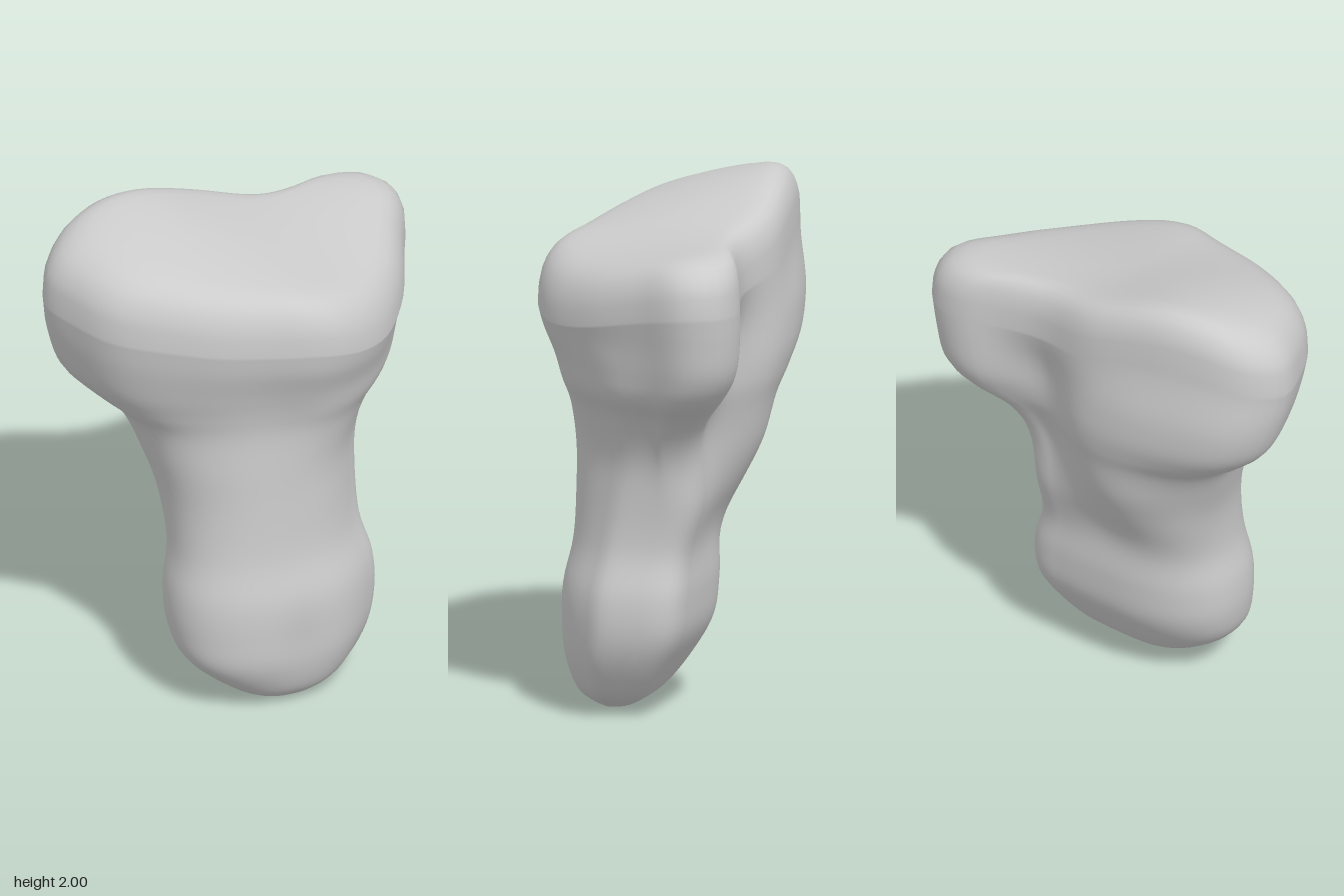
import * as THREE from 'three';

const SIDES = 80, STEPS = 5;

// head outline seen from above, [x, z], starting at the right and running across the front
const HEAD = [
  [-0.77, -0.19], [-0.73, -0.02], [-0.63, 0.16], [-0.36, 0.32], [-0.1, 0.4], [0.15, 0.45],
  [0.38, 0.36], [0.56, 0.16], [0.68, -0.08], [0.76, -0.28], [0.7, -0.41], [0.57, -0.45],
  [0.39, -0.41], [0.15, -0.405], [-0.08, -0.445], [-0.3, -0.445], [-0.6, -0.38], [-0.71, -0.31],
];

// levels: y, xMin, xMax, zMin, zMax, head shape amount, tilt amount
const LEVELS = [
  [0.0, 0.0, 0.14, 0.15, 0.21, 0, 0],
  [0.02, -0.07, 0.2, 0.08, 0.26, 0, 0],
  [0.08, -0.18, 0.32, -0.01, 0.315, 0, 0],
  [0.2, -0.32, 0.41, -0.1, 0.36, 0, 0],
  [0.33, -0.365, 0.455, -0.17, 0.37, 0, 0],
  [0.48, -0.37, 0.455, -0.19, 0.365, 0, 0],
  [0.65, -0.345, 0.41, -0.2, 0.33, 0, 0],
  [0.85, -0.36, 0.415, -0.285, 0.32, 0.1, 0],
  [1.02, -0.41, 0.45, -0.36, 0.32, 0.25, 0],
  [1.18, -0.48, 0.55, -0.4, 0.33, 0.5, 0],
  [1.28, -0.59, 0.66, -0.43, 0.355, 0.75, 0],
  [1.38, -0.69, 0.71, -0.45, 0.385, 0.9, 0.1],
  [1.5, -0.745, 0.735, -0.45, 0.43, 1, 0.45],
  [1.6, -0.77, 0.755, -0.45, 0.45, 1, 0.85],
];

// rounded rim and top face: [scale, height below the top face]
const CAP = [[0.993, 0.13], [0.975, 0.09], [0.945, 0.054], [0.9, 0.027], [0.84, 0.01], [0.77, 0.002],
  [0.68, 0], [0.56, 0], [0.42, 0], [0.28, 0], [0.14, 0], [0.03, 0], [0, 0]];

const bump = (v, centre, width) => Math.exp(-(((v - centre) / width) ** 2));
const { smoothstep, lerp, clamp } = THREE.MathUtils;

// convex sloping top face, high at the right rear and falling to the left front
function topHeight(x, z) {
  const back = 1.845 + 0.16 * bump(x, -0.42, 0.42);
  const front = 1.79 - 0.16 * smoothstep(x, 0, 0.7);
  return lerp(back, front, clamp((z + 0.32) / 0.74, 0, 1) ** 1.4);
}

// Catmull-Rom blend between levels
function levelAt(i, t) {
  const n = LEVELS.length - 1;
  const [a, b, c, d] = [-1, 0, 1, 2].map(k => LEVELS[clamp(i + k, 0, n)]);
  return b.map((p, k) => {
    const m0 = (c[k] - a[k]) / 2, m1 = (d[k] - p) / 2, t2 = t * t, t3 = t2 * t;
    return (2 * t3 - 3 * t2 + 1) * p + (t3 - 2 * t2 + t) * m0 + (3 * t2 - 2 * t3) * c[k] + (t3 - t2) * m1;
  });
}

function ring(level, outline) {
  const [y, x0, x1, z0, z1, head, tilt] = level;
  return outline.map(([u, v]) => {
    // shaft section: superellipse, fuller at the left rear and softer at the left front
    const power = 2.3 + 3 * Math.max(0, u) * clamp(-v, -0.3, 1);
    const r = Math.pow(Math.abs(u) ** power + Math.abs(v) ** power, -1 / power);
    const x = lerp(x0, x1, (lerp(u * r, u, head) + 1) / 2);
    let z = lerp(z0, z1, (lerp(v * r, v, head) + 1) / 2);
    const rear = smoothstep(-v, 0, 0.8);
    // rear ridge of the upper shaft, with a recess under the left rear lobe
    z += rear * 0.07 * (1 - bump(x, -0.1, 0.24)) * bump(y, 1.02, 0.2);
    z += rear * 0.07 * smoothstep(x, 0, 0.35) * bump(y, 1.14, 0.2);
    // groove beside the lobe, and the rear wall leaning in towards the top
    z += rear * 0.08 * bump(x, 0.24, 0.14) * bump(y, 1.4, 0.17);
    z += rear * 0.03 * smoothstep(y, 1.45, 1.6) * (1 - smoothstep(x, -0.3, 0.1));
    // hollow above the lower knuckle, and the shallow dip between its halves
    z += rear * 0.02 * bump(x, 0.04, 0.2) * bump(y, 0.74, 0.12);
    z -= smoothstep(v, 0, 0.8) * 0.015 * bump(x, 0.06, 0.1) * bump(y, 0.25, 0.16);
    return [x, y + tilt * (topHeight(x, z) - 1.8), z];
  });
}

export function createModel() {
  const group = new THREE.Group();
  group.name = 'bone';

  const curve = new THREE.CatmullRomCurve3(HEAD.map(([x, z]) => new THREE.Vector3(x, 0, z)), true);
  const outline = curve.getSpacedPoints(SIDES).slice(0, SIDES)
    .map(p => [(p.x + 0.005) / 0.765, p.z / 0.45]);

  // knuckle, shaft and head sides
  const rings = [];
  for (let i = 0; i < LEVELS.length - 1; i++)
    for (let s = 0; s < STEPS; s++) rings.push(ring(levelAt(i, s / STEPS), outline));
  const rim = ring(LEVELS[LEVELS.length - 1], outline);
  rings.push(rim);

  // rim and top face
  for (const [s, drop] of CAP)
    rings.push(rim.map(([x, , z]) => {
      const px = x * s, pz = -0.03 + (z + 0.03) * s;
      return [px, topHeight(px, pz) - drop, pz];
    }));

  const index = [];
  for (let j = 0; j < rings.length - 1; j++)
    for (let i = 0; i < SIDES; i++) {
      const k = (i + 1) % SIDES, a = j * SIDES, b = a + SIDES;
      index.push(a + i, a + k, b + i, a + k, b + k, b + i);
    }
  // underside
  for (let i = 1; i < SIDES - 1; i++) index.push(0, i + 1, i);

  const geometry = new THREE.BufferGeometry();
  geometry.setAttribute('position', new THREE.Float32BufferAttribute(rings.flat(2), 3));
  geometry.setIndex(index);
  geometry.computeVertexNormals();

  const mesh = new THREE.Mesh(geometry, new THREE.MeshStandardMaterial({ color: 0xcccccc }));
  mesh.name = 'boneBody';
  group.add(mesh);
  return group;
}
